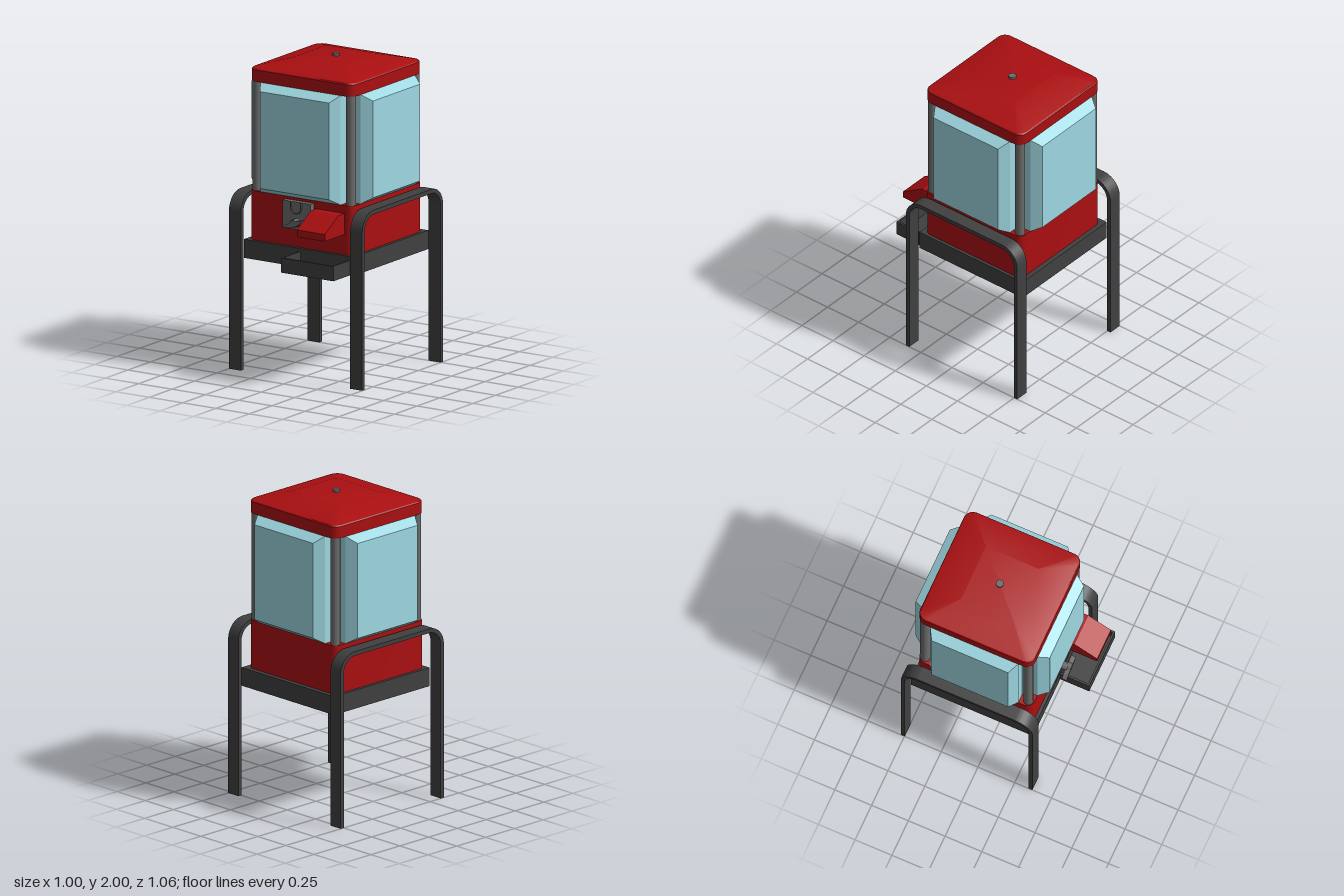
import * as THREE from 'three';
import { toCreasedNormals } from 'three/addons/utils/BufferGeometryUtils.js';

const CZ = -0.075; // centre of the cabinet in z

// Stack of rounded rectangles [halfWidth, halfDepth, cornerRadius, y], capped at both ends
function loft(rings, seg) {
  const pos = [], idx = [];
  const n = 4 * (seg + 1);
  for (const [w, d, r, y] of rings) {
    for (let c = 0; c < 4; c++) {
      const sx = c === 0 || c === 3 ? 1 : -1, sz = c < 2 ? -1 : 1;
      for (let s = 0; s <= seg; s++) {
        const a = (c + (seg ? s / seg : 0.5)) * Math.PI / 2;
        pos.push(sx * (w - r) + r * Math.cos(a), y, sz * (d - r) - r * Math.sin(a));
      }
    }
  }
  for (let k = 0; k < rings.length - 1; k++) {
    for (let i = 0; i < n; i++) {
      const a = k * n + i, b = k * n + (i + 1) % n;
      idx.push(a, b, b + n, a, b + n, a + n);
    }
  }
  const top = (rings.length - 1) * n;
  for (let i = 1; i < n - 1; i++) idx.push(0, i + 1, i, top, top + i, top + i + 1);
  const g = new THREE.BufferGeometry();
  g.setAttribute('position', new THREE.Float32BufferAttribute(pos, 3));
  g.setIndex(idx);
  g.computeVertexNormals();
  return toCreasedNormals(g, 0.3);
}

// Extrudes a (z, y) side profile across x, from x0 to x1
function sideExtrude(shape, x0, x1) {
  const g = new THREE.ExtrudeGeometry(shape, { depth: x1 - x0, bevelEnabled: false, curveSegments: 12 });
  g.rotateY(-Math.PI / 2).translate(x1, 0, 0);
  return toCreasedNormals(g, 0.5);
}

export function createModel() {
  const mat = (name, color) => {
    const m = new THREE.MeshStandardMaterial({ color });
    m.name = name;
    return m;
  };
  const red = mat('red paint', 0xaa0f11);
  const glass = mat('pale blue glass', 0x9fd8e2);
  const dark = mat('dark frame', 0x404040);
  const steel = mat('grey metal', 0x6c6c6c);

  const model = new THREE.Group();
  model.name = 'vendingMachine';
  const add = (name, geo, material, x = 0, y = 0, z = 0) => {
    const m = new THREE.Mesh(geo, material);
    m.name = name;
    m.position.set(x, y, z);
    model.add(m);
    return m;
  };
  // Box given by its limits on each axis
  const box = (name, material, x0, x1, y0, y1, z0, z1) =>
    add(name, new THREE.BoxGeometry(x1 - x0, y1 - y0, z1 - z0), material,
      (x0 + x1) / 2, (y0 + y1) / 2, (z0 + z1) / 2);

  // Stand platform
  box('platform', dark, -0.41, 0.41, 0.715, 0.835, -0.495, 0.335);

  // Bent strap legs, one upside-down U on each side
  const zf = 0.37, zb = -0.525, topY = 1.13, t = 0.027, R = 0.125, r = R - t;
  const strap = new THREE.Shape();
  strap.moveTo(zf, 0);
  strap.lineTo(zf, topY - R);
  strap.absarc(zf - R, topY - R, R, 0, Math.PI / 2, false);
  strap.lineTo(zb + R, topY);
  strap.absarc(zb + R, topY - R, R, Math.PI / 2, Math.PI, false);
  strap.lineTo(zb, 0);
  strap.lineTo(zb + t, 0);
  strap.lineTo(zb + t, topY - R);
  strap.absarc(zb + R, topY - R, r, Math.PI, Math.PI / 2, true);
  strap.lineTo(zf - R, topY - t);
  strap.absarc(zf - R, topY - R, r, Math.PI / 2, 0, true);
  strap.lineTo(zf - t, 0);
  add('leftLegs', sideExtrude(strap, 0.41, 0.5), dark);
  add('rightLegs', sideExtrude(strap, -0.5, -0.41), dark);

  // Red base cabinet
  add('baseCabinet', loft([[0.39, 0.39, 0.05, 0.83], [0.39, 0.39, 0.05, 1.15]], 6), red, 0, 0, CZ);

  // Glass globe: inner box plus a bulging bevelled panel on each side
  box('glassCore', glass, -0.33, 0.33, 1.145, 1.855, CZ - 0.33, CZ + 0.33);
  for (let i = 0; i < 4; i++) {
    const panel = loft([[0.3, 0.35, 0, 0.3], [0.3, 0.35, 0, 0.39], [0.26, 0.31, 0, 0.456]], 0);
    panel.rotateX(Math.PI / 2).rotateY(i * Math.PI / 2);
    add('glassPanel', panel, glass, 0, 1.5, CZ);
  }

  // Corner posts
  for (const sx of [-1, 1]) {
    for (const sz of [-1, 1]) {
      add('cornerPost', new THREE.CylinderGeometry(0.031, 0.031, 0.72, 20), steel,
        sx * 0.351, 1.5, CZ + sz * 0.351);
    }
  }

  // Lid with shallow hipped top, and its lock knob
  add('lid', loft([
    [0.392, 0.392, 0.06, 1.85], [0.392, 0.392, 0.06, 1.925],
    [0.386, 0.386, 0.056, 1.932], [0.19, 0.182, 0.004, 1.986],
  ], 6), red, 0, 0, CZ);
  add('lidKnob', new THREE.CylinderGeometry(0.024, 0.024, 0.025, 20), steel, 0, 1.9875, CZ);

  // Delivery chute hood
  const hood = new THREE.Shape([
    [0.3, 0.965], [0.533, 0.965], [0.533, 1.01], [0.38, 1.1], [0.3, 1.1],
  ].map(([z, y]) => new THREE.Vector2(z, y)));
  add('chuteHood', sideExtrude(hood, 0.12, 0.33), red);

  // Open catch tray below the chute
  const w = 0.013;
  box('trayFloor', dark, 0, 0.395, 0.72, 0.733, 0.33, 0.533);
  box('trayFront', dark, 0, 0.395, 0.72, 0.815, 0.533 - w, 0.533);
  box('trayRightWall', dark, 0, w, 0.72, 0.815, 0.33, 0.533);
  box('trayLeftWall', dark, 0.395 - w, 0.395, 0.72, 0.815, 0.33, 0.533);

  // Coin mechanism: plate, coin guide and turning handle
  box('coinPlate', steel, -0.11, 0.1, 0.955, 1.132, 0.31, 0.35);
  const guide = new THREE.Shape();
  guide.moveTo(-0.042, 0.035);
  guide.lineTo(-0.042, 0);
  guide.absarc(0, 0, 0.042, Math.PI, Math.PI * 2, false);
  guide.lineTo(0.042, 0.035);
  guide.lineTo(0.034, 0.035);
  guide.lineTo(0.034, 0);
  guide.absarc(0, 0, 0.034, Math.PI * 2, Math.PI, true);
  guide.lineTo(-0.034, 0.035);
  add('coinGuide', new THREE.ExtrudeGeometry(guide, { depth: 0.014, bevelEnabled: false }),
    steel, -0.008, 1.097, 0.345);
  const hub = new THREE.CylinderGeometry(0.026, 0.026, 0.05, 20).rotateX(Math.PI / 2);
  add('handleHub', hub, steel, 0, 1.003, 0.365);
  const grip = new THREE.Shape();
  grip.moveTo(-0.075, -0.035);
  grip.quadraticCurveTo(-0.05, -0.005, -0.02, 0.005);
  grip.quadraticCurveTo(0, 0.035, 0.025, 0.022);
  grip.quadraticCurveTo(0.05, 0.03, 0.07, 0.03);
  grip.quadraticCurveTo(0.05, -0.005, 0.02, -0.014);
  grip.quadraticCurveTo(-0.01, -0.03, -0.04, -0.026);
  grip.lineTo(-0.075, -0.035);
  const gripGeo = new THREE.ExtrudeGeometry(grip, { depth: 0.032, bevelEnabled: false });
  add('turnHandle', toCreasedNormals(gripGeo, 0.5), steel, 0, 1.003, 0.38);

  return model;
}
